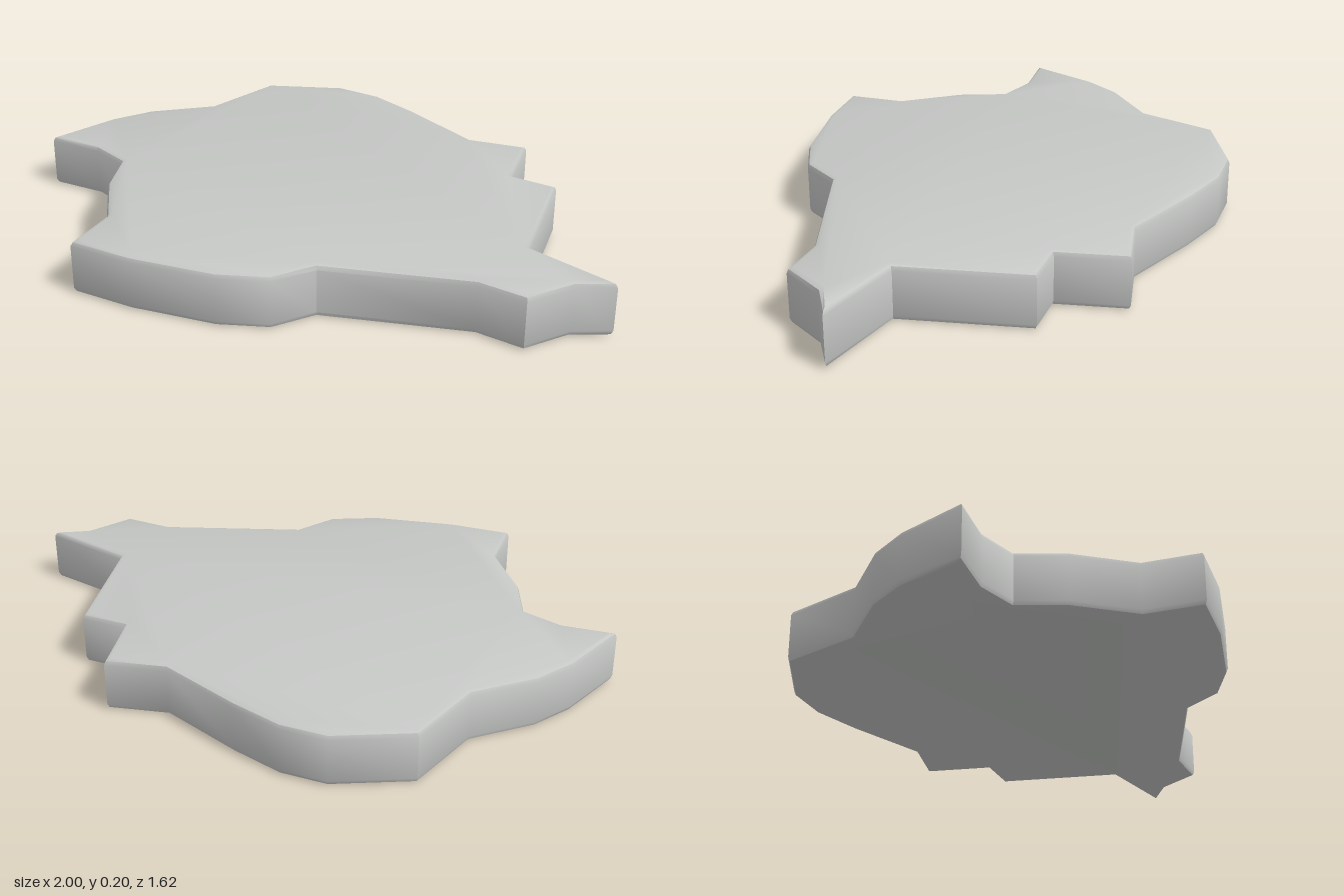
import * as THREE from 'three';
import { toCreasedNormals } from 'three/addons/utils/BufferGeometryUtils.js';

// Slab outline seen from above, as [x, z]
const outline = [
  [-1, -0.28], [-0.8, -0.46], [-0.66, -0.54], [-0.42, -0.6], [-0.21, -0.815],
  [0.08, -0.8], [0.23, -0.72], [0.37, -0.58], [0.58, -0.335], [0.79, -0.275],
  [0.72, -0.035], [0.87, 0.045], [0.74, 0.485], [1, 0.71], [0.86, 0.72],
  [0.705, 0.81], [0.555, 0.72], [0.04, 0.64], [-0.105, 0.72], [-0.285, 0.71],
  [-0.575, 0.62], [-0.785, 0.52], [-0.695, 0.33], [-0.73, 0.09], [-0.71, -0.09],
  [-0.82, -0.2],
];

const height = 0.2;
const bevel = 0.02;

export function createModel() {
  const group = new THREE.Group();
  group.name = 'stoneSlab';
  const stone = new THREE.MeshStandardMaterial({ color: 0xc6c8c6 });
  stone.name = 'pale grey stone';

  // Flat slab with softened top and bottom rims
  const shape = new THREE.Shape(outline.map(([x, z]) => new THREE.Vector2(x, -z)));
  const geometry = new THREE.ExtrudeGeometry(shape, {
    depth: height - 2 * bevel,
    bevelEnabled: true,
    bevelThickness: bevel,
    bevelSize: bevel,
    bevelOffset: -bevel,
    bevelSegments: 2,
  });
  geometry.rotateX(-Math.PI / 2);
  geometry.translate(0, bevel, 0);

  const slab = new THREE.Mesh(toCreasedNormals(geometry, 0.7), stone);
  slab.name = 'slab';
  group.add(slab);
  return group;
}
